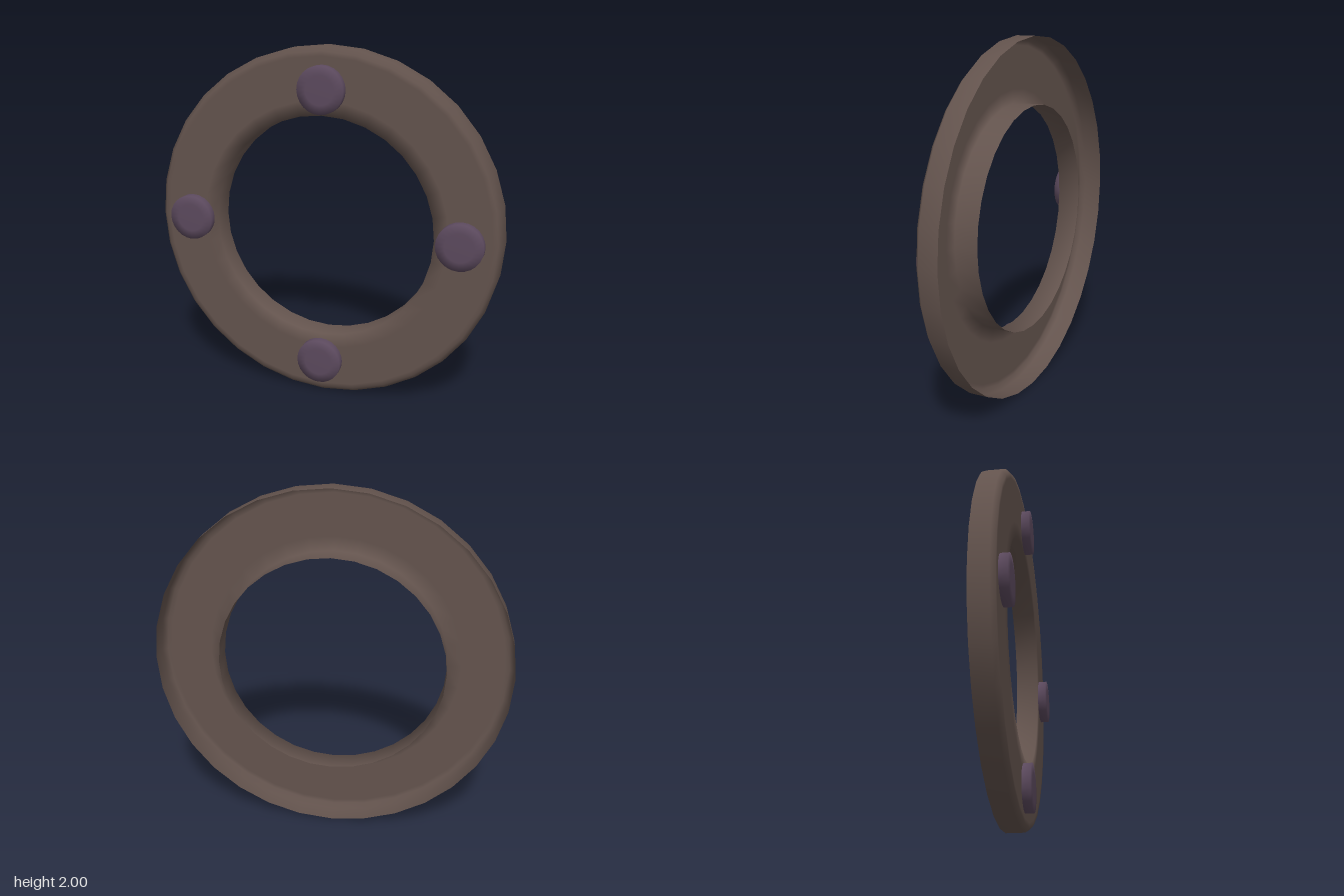
import * as THREE from 'three';

// Lathe turned so its axis runs along z
function turned(profile, sides, material, name) {
  const points = profile.map(([r, z]) => new THREE.Vector2(r, z));
  const geometry = new THREE.LatheGeometry(points, sides);
  geometry.rotateX(Math.PI / 2);
  const mesh = new THREE.Mesh(geometry, material);
  mesh.name = name;
  return mesh;
}

export function createModel() {
  const group = new THREE.Group();
  group.name = 'studdedRing';
  const brown = new THREE.MeshStandardMaterial({ color: 0x63534d, side: THREE.DoubleSide });
  brown.name = 'dull brown';
  const purple = new THREE.MeshStandardMaterial({ color: 0x5b495d, side: THREE.DoubleSide });
  purple.name = 'dull purple';

  // Thin channel-shaped ring, hollow and open at the back, with a bevelled front rim
  const ring = turned([
    [1, -0.09], [1, 0.015], [0.975, 0.04], [0.95, 0.04], [0.715, 0.04], [0.635, 0.04], [0.635, -0.09],
  ], 32, brown, 'ring');
  ring.position.y = 1;
  group.add(ring);

  // Four softly rounded studs standing on the front face
  const studProfile = [[0.13, 0.04], [0.13, 0.086], [0.08, 0.09], [0, 0.09]];
  const places = { top: [0.005, 1.775], left: [0.78, 0.99], bottom: [-0.005, 0.205], right: [-0.79, 1] };
  for (const [side, [x, y]] of Object.entries(places)) {
    const stud = turned(studProfile, 24, purple, side + 'Stud');
    stud.position.set(x, y, 0);
    group.add(stud);
  }
  return group;
}
